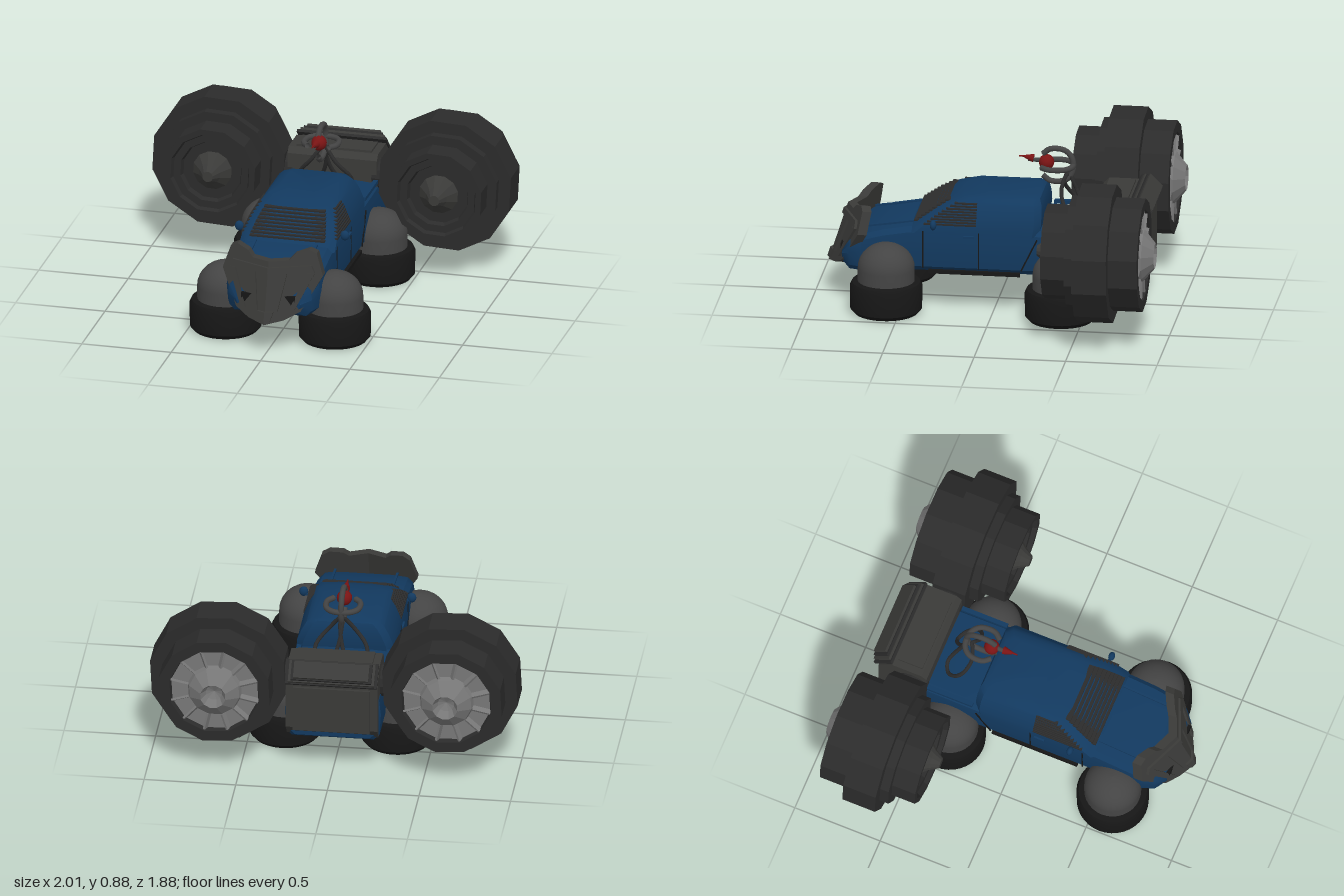
import * as THREE from 'three';
import { toCreasedNormals } from 'three/addons/utils/BufferGeometryUtils.js';

const mat = (color, flatShading = false) =>
  new THREE.MeshStandardMaterial({ color, flatShading, side: THREE.DoubleSide });
const BLUE = mat(0x12395f), DARK = mat(0x2b2b2b, true), STEEL = mat(0x3a3a38, true);
const GREY = mat(0x444444), BLACK = mat(0x161616), LIGHT = mat(0x777777, true), RED = mat(0x7a1414);
const V = (x, y, z) => new THREE.Vector3(x, y, z);

function add(parent, name, geo, material, x = 0, y = 0, z = 0) {
  const m = new THREE.Mesh(geo, material);
  m.name = name;
  m.position.set(x, y, z);
  parent.add(m);
  return m;
}
const box = (p, name, material, w, h, d, x, y, z) => add(p, name, new THREE.BoxGeometry(w, h, d), material, x, y, z);
const lathe = (pts, n) => new THREE.LatheGeometry(pts.map(p => new THREE.Vector2(p[0], p[1])), n);
const tube = (pts, r, closed = false) =>
  new THREE.TubeGeometry(new THREE.CatmullRomCurve3(pts, closed), 36, r, 8, closed);

// Skin through equal-sized rings of points, with fan caps
function loft(rings) {
  const n = rings[0].length, pos = [], idx = [];
  rings.forEach(r => r.forEach(p => pos.push(...p)));
  for (let i = 0; i < rings.length - 1; i++) for (let j = 0; j < n; j++) {
    const a = i * n + j, b = i * n + (j + 1) % n;
    idx.push(a, b, b + n, a, b + n, a + n);
  }
  const last = (rings.length - 1) * n;
  for (let j = 1; j < n - 1; j++) idx.push(0, j + 1, j, last, last + j, last + j + 1);
  const g = new THREE.BufferGeometry();
  g.setAttribute('position', new THREE.Float32BufferAttribute(pos, 3));
  g.setIndex(idx);
  return toCreasedNormals(g, 0.6);
}

// Cab levels: y, front z, back z, half width
const CAB = [[0.44, 0.49, -0.25, 0.268], [0.5, 0.42, -0.26, 0.262], [0.56, 0.335, -0.26, 0.238],
  [0.605, 0.26, -0.255, 0.212], [0.63, 0.18, -0.245, 0.185], [0.643, 0.08, -0.22, 0.14]];
function cabAt(y) {
  const i = Math.max(0, CAB.findIndex(l => l[0] >= y) - 1), a = CAB[i], b = CAB[i + 1];
  return a.map((v, k) => v + (b[k] - v) * (y - a[0]) / (b[0] - a[0]));
}

function buildBody(g) {
  // Lower body stations: z, half width, bottom, top
  const lower = [[-0.79, 0.24, 0.22, 0.46], [-0.76, 0.262, 0.2, 0.48], [-0.26, 0.268, 0.22, 0.48],
    [0.46, 0.268, 0.22, 0.475], [0.6, 0.268, 0.22, 0.45], [0.72, 0.262, 0.2, 0.415],
    [0.79, 0.235, 0.2, 0.375], [0.835, 0.18, 0.23, 0.32]];
  add(g, 'lowerBody', loft(lower.map(([z, w, b, t]) => {
    const half = [[0.85, b], [0.97, b + 0.03], [1, b + (t - b) * 0.55], [0.96, t - 0.035], [0.86, t - 0.008], [0.5, t]];
    return [...half.map(p => [p[0] * w, p[1], z]), ...half.reverse().map(p => [-p[0] * w, p[1], z])];
  })), BLUE);
  add(g, 'cab', loft(CAB.map(([y, f, b, w]) => {
    const c = 0.035;
    return [[w * 0.45, y, f], [w - c, y, f - 0.015], [w, y, f - 0.06], [w, y, b + c], [w - c, y, b],
      [c - w, y, b], [-w, y, b + c], [-w, y, f - 0.06], [c - w, y, f - 0.015], [-w * 0.45, y, f]];
  })), BLUE);
  // Louvred windows
  for (let i = 0; i < 9; i++) {
    const y = 0.495 + i * 0.0135, [, f, , w] = cabAt(y);
    box(g, 'windshieldSlat', DARK, w * 1.6, 0.009, 0.03, 0, y, f - 0.006);
    for (const s of [-1, 1]) {
      const front = f - 0.05, len = front - 0.09;
      box(g, 'sideWindowSlat', DARK, 0.02, 0.009, len, s * (w - 0.004), y, front - len / 2);
    }
  }
  for (const s of [-1, 1]) {
    // Door seams, sill, handle and mirror
    for (const z of [0.38, 0.075]) box(g, 'doorSeam', BLACK, 0.004, 0.21, 0.006, s * 0.267, 0.35, z);
    const seam = box(g, 'bedSeam', BLACK, 0.006, 0.2, 0.008, s * 0.267, 0.34, -0.2);
    seam.rotation.x = -0.45;
    box(g, 'sill', BLACK, 0.02, 0.02, 0.5, s * 0.26, 0.225, 0.1);
    box(g, 'doorHandle', BLUE, 0.015, 0.012, 0.06, s * 0.27, 0.43, 0.13);
    const mirror = add(g, 'mirror', new THREE.SphereGeometry(1, 12, 8), BLUE, s * 0.295, 0.5, 0.32);
    mirror.scale.set(0.025, 0.028, 0.018);
    box(g, 'mirrorArm', BLUE, 0.05, 0.012, 0.015, s * 0.27, 0.487, 0.315);
    box(g, 'bonnetCrease', BLUE, 0.012, 0.01, 0.26, s * 0.17, 0.458, 0.57).rotation.x = 0.15;
    box(g, 'bedRail', BLUE, 0.025, 0.02, 0.28, s * 0.245, 0.482, -0.41);
    box(g, 'chassisRail', BLACK, 0.04, 0.03, 1.3, s * 0.12, 0.205, 0);
  }
  box(g, 'grille', BLACK, 0.3, 0.08, 0.03, 0, 0.285, 0.83);
}

function buildGuard(g) {
  // Plates are cut flat, then swept back with height and width
  const sweep = (pts, depth, out) => {
    const geo = new THREE.ExtrudeGeometry(new THREE.Shape(pts.map(p => new THREE.Vector2(...p))),
      { depth, bevelEnabled: false });
    const p = geo.attributes.position;
    for (let i = 0; i < p.count; i++) {
      const x = p.getX(i), y = p.getY(i);
      p.setZ(i, p.getZ(i) - depth + out + 0.93 - 0.32 * (y - 0.18) - 0.42 * x);
    }
    geo.computeVertexNormals();
    return geo;
  };
  const plate = [[0, 0.18], [0.1, 0.2], [0.18, 0.24], [0.28, 0.42], [0.24, 0.54], [0.2, 0.56], [0.13, 0.54], [0.1, 0.51], [0, 0.51]];
  const ribs = [
    [[0, 0.2], [0.03, 0.2], [0.045, 0.25], [0, 0.25]],
    [[0.045, 0.25], [0.065, 0.25], [0.1, 0.45], [0.075, 0.45]],
    [[0.12, 0.25], [0.15, 0.25], [0.24, 0.44], [0.2, 0.44]],
    [[0, 0.45], [0.24, 0.44], [0.22, 0.48], [0, 0.48]]];
  for (const s of [-1, 1]) {
    const half = new THREE.Group();
    half.name = 'frontGuard';
    half.scale.x = s;
    add(half, 'guardPlate', sweep(plate, 0.05, 0), STEEL);
    ribs.forEach(r => add(half, 'guardRib', sweep(r, 0.02, 0.014), STEEL));
    box(half, 'guardBracket', DARK, 0.04, 0.05, 0.12, 0.14, 0.3, 0.77);
    g.add(half);
  }
}

function buildWheel(g, x, z) {
  const w = new THREE.Group();
  w.name = 'hoverWheel';
  w.position.set(x, 0, z);
  add(w, 'tyre', toCreasedNormals(lathe([[0, 0.06], [0.135, 0.06], [0.135, 0.01], [0.15, 0], [0.175, 0.002], [0.195, 0.025],
    [0.197, 0.15], [0.185, 0.175], [0.165, 0.18], [0, 0.18]], 36), 0.6), BLACK);
  const dome = [[0.155, 0.16], [0.155, 0.25]];
  for (let i = 1; i <= 8; i++) dome.push([0.155 * Math.cos(i * Math.PI / 16), 0.25 + 0.14 * Math.sin(i * Math.PI / 16)]);
  add(w, 'dome', lathe(dome, 32), GREY);
  add(w, 'hub', new THREE.CylinderGeometry(0.035, 0.03, 0.05, 16), GREY, 0, 0.04, 0);
  add(w, 'rim', new THREE.TorusGeometry(0.13, 0.008, 6, 32).rotateX(Math.PI / 2), GREY, 0, 0.015, 0);
  for (let i = 0; i < 10; i++) {
    const a = i * Math.PI / 5;
    box(w, 'spoke', GREY, 0.105, 0.02, 0.02, Math.cos(a) * 0.08, 0.03, -Math.sin(a) * 0.08).rotation.y = a;
  }
  g.add(w);
}

function buildEngine(g, s) {
  const e = new THREE.Group();
  e.name = 'turbine';
  e.position.set(s * 0.633, s > 0 ? 0.5 : 0.515, 0);
  const turn = pts => lathe(pts, 12).rotateX(Math.PI / 2).rotateZ(0.21);
  // Stepped casing from rear lip to intake
  add(e, 'casing', turn([[0.23, -0.8], [0.25, -0.88], [0.31, -0.88], [0.31, -0.72], [0.378, -0.72], [0.378, -0.53],
    [0.31, -0.53], [0.31, -0.48], [0.258, -0.48], [0.258, -0.345], [0.225, -0.345], [0.215, -0.37],
    [0.175, -0.37], [0.165, -0.4], [0, -0.4]]), DARK);
  add(e, 'noseCone', turn([[0.11, -0.4], [0.06, -0.345], [0.03, -0.295], [0, -0.295]]), STEEL);
  add(e, 'exhaust', turn([[0, -0.87], [0.045, -0.89], [0.07, -0.94], [0.14, -0.88], [0.15, -0.85], [0.245, -0.85]]), LIGHT);
  for (let i = 0; i < 12; i++) {
    const blade = new THREE.Group();
    blade.rotation.z = 0.21 + i * Math.PI / 6;
    blade.name = 'exhaustBlade';
    box(blade, 'vane', LIGHT, 0.1, 0.012, 0.03, 0.195, 0, -0.86).rotation.x = 0.5;
    e.add(blade);
  }
  g.add(e);
  const arm = add(g, 'engineArm', new THREE.CylinderGeometry(0.09, 0.09, 0.14, 12), DARK, s * 0.29, 0.5, -0.625);
  arm.rotation.z = Math.PI / 2;
}

function buildPowerBox(g) {
  // Chamfered housing between the engines
  const prof = [[-0.54, 0.24], [-0.54, 0.6], [-0.57, 0.63], [-0.74, 0.63], [-0.82, 0.55], [-0.82, 0.28], [-0.77, 0.22]];
  const shape = new THREE.Shape(prof.map(p => new THREE.Vector2(-p[0], p[1])));
  const geo = new THREE.ExtrudeGeometry(shape, { depth: 0.5, bevelEnabled: false }).translate(0, 0, -0.25).rotateY(Math.PI / 2);
  add(g, 'powerBox', geo, STEEL);
  box(g, 'rearPanel', STEEL, 0.42, 0.26, 0.02, 0, 0.4, -0.825);
  box(g, 'topPanel', STEEL, 0.42, 0.02, 0.14, 0, 0.632, -0.65);
  // Stacked cooling plates on the rear upper edge
  for (let i = 0; i < 4; i++) {
    const d = 0.012 + i * 0.014;
    box(g, 'coolingPlate', i % 2 ? STEEL : DARK, 0.5 - i * 0.03, 0.016, 0.14 - i * 0.015, 0, 0.595 + d * 0.8, -0.785 - d * 0.8).rotation.x = -Math.PI / 4;
  }
}

function buildTurret(g) {
  const t = new THREE.Group();
  t.name = 'turret';
  add(t, 'ball', new THREE.SphereGeometry(0.042, 20, 14), RED, 0, 0.79, -0.26);
  const cyl = (name, r1, r2, len, m, y, z) =>
    add(t, name, new THREE.CylinderGeometry(r1, r2, len, 14).rotateX(Math.PI / 2), m, 0, y, z);
  cyl('barrel', 0.01, 0.014, 0.08, GREY, 0.8, -0.2);
  cyl('muzzle', 0.008, 0.023, 0.05, RED, 0.812, -0.165).rotation.x = -0.15;
  cyl('tip', 0.004, 0.006, 0.03, RED, 0.818, -0.125);
  // Cradle hoops, one upright and one level, open at the front
  const hoop = [[0.06, -0.24], [0.09, -0.28], [0.085, -0.36], [0.04, -0.4]];
  const loop = [...hoop, ...hoop.slice().reverse().map(p => [-p[0], p[1]])];
  add(t, 'uprightHoop', tube(loop.map(p => V(0, 0.775 + p[0], p[1])), 0.016), GREY);
  add(t, 'levelHoop', tube(loop.map(p => V(p[0], 0.775, p[1])), 0.016), GREY);
  // Looped legs standing on the bed
  for (const s of [-1, 1]) {
    add(t, 'legLoop', tube([V(0, 0.73, -0.38), V(s * 0.07, 0.65, -0.35), V(s * 0.14, 0.56, -0.39), V(s * 0.13, 0.49, -0.46),
      V(s * 0.07, 0.49, -0.49), V(s * 0.015, 0.58, -0.45)], 0.011, true), DARK);
  }
  g.add(t);
}

export function createModel() {
  const g = new THREE.Group();
  g.name = 'hoverTruck';
  buildBody(g);
  buildGuard(g);
  for (const x of [-0.305, 0.305]) for (const z of [0.575, -0.38]) buildWheel(g, x, z);
  for (const s of [-1, 1]) buildEngine(g, s);
  buildPowerBox(g);
  buildTurret(g);
  return g;
}
